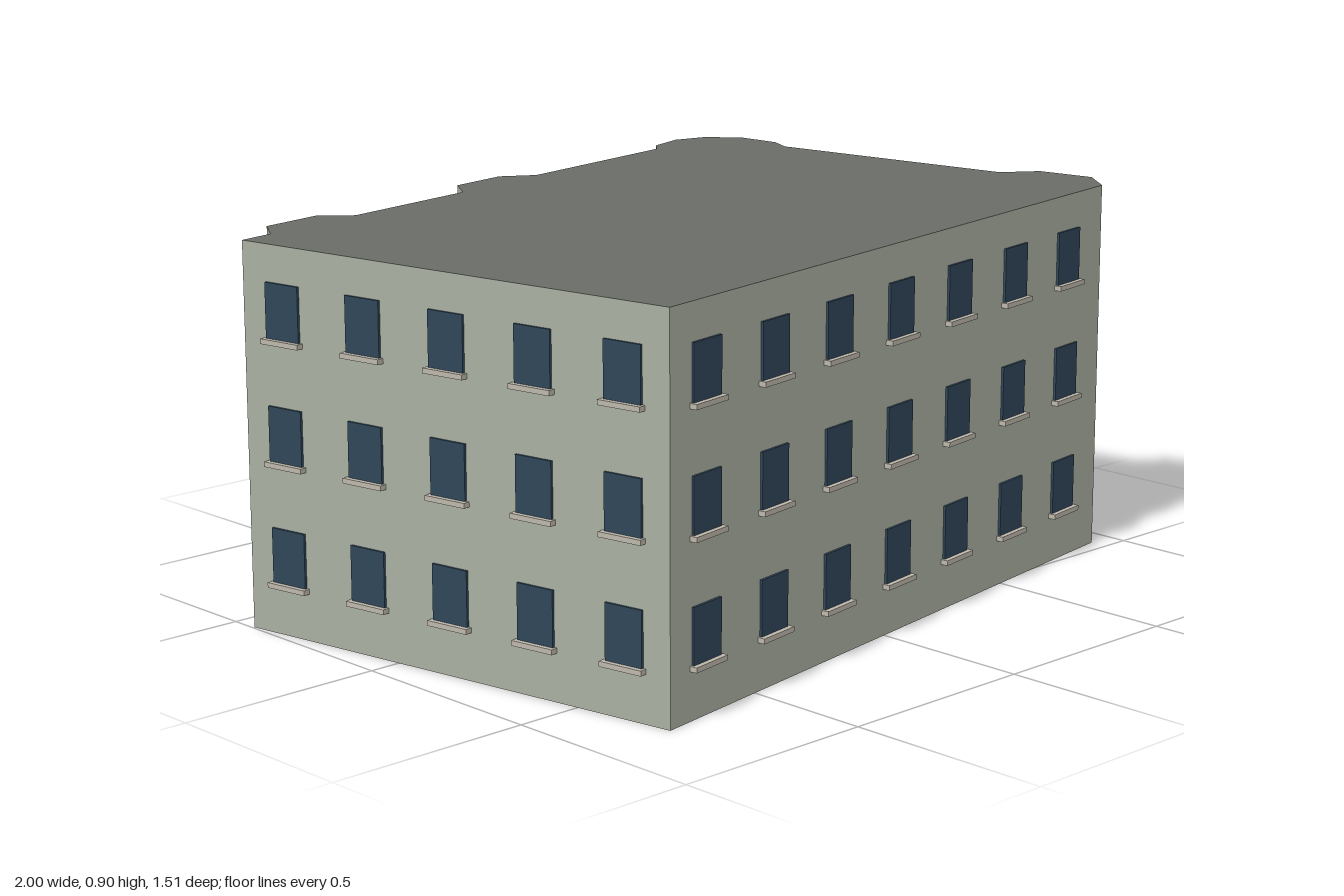
import * as THREE from 'three';

const HEIGHT = 0.905;

// Footprint corners as [x, z], starting at the front right corner of the facade
const outline = [
  [-0.80, 0.745], [0.93, 0.455],                                    // front wall
  [1.0, 0.365], [0.975, 0.22], [0.89, 0.16],                        // front corner bay
  [0.785, -0.485],                                                  // side wall
  [0.815, -0.55], [0.805, -0.67], [0.735, -0.74],                   // rear corner turret
  [0.655, -0.76], [0.555, -0.73], [0.52, -0.69],
  [0.035, -0.61], [-0.045, -0.66], [-0.20, -0.635], [-0.25, -0.555], // middle rear bay
  [-0.625, -0.495], [-0.695, -0.555], [-0.855, -0.53], [-0.905, -0.45], // end rear bay
  [-0.995, -0.435],
];

// Walls with windows: index of the wall's first corner, window positions along it
const facades = [
  { name: 'front', corner: 0, at: [0.071, 0.211, 0.35, 0.49, 0.63, 0.77, 0.909] },
  { name: 'leftSide', corner: 4, at: [0.24, 0.744] },
  { name: 'rearWide', corner: 11, at: [0.26, 0.77] },
  { name: 'rearNarrow', corner: 15, at: [0.51] },
  { name: 'rightSide', corner: 20, at: [0.1, 0.3, 0.5, 0.7, 0.9] },
];
const storeys = [0.187, 0.471, 0.755];

const paint = (color) => new THREE.MeshStandardMaterial({ color });

export function createModel() {
  const model = new THREE.Group();
  model.name = 'building';
  const wallPaint = paint(0xa9afa2);
  const roofPaint = paint(0x6a6d66);
  const glassPaint = paint(0x2f4659);
  const sillPaint = paint(0xbdb7ab);

  // Walls with flat roof and base
  const shape = new THREE.Shape(outline.map(([x, z]) => new THREE.Vector2(x, -z)));
  const bodyGeometry = new THREE.ExtrudeGeometry(shape, { depth: HEIGHT, bevelEnabled: false });
  bodyGeometry.rotateX(-Math.PI / 2);
  const body = new THREE.Mesh(bodyGeometry, [roofPaint, wallPaint]);
  body.name = 'wallsAndRoof';
  model.add(body);

  // Window panes and their sills, standing slightly proud of the wall
  const paneGeometry = new THREE.BoxGeometry(0.098, 0.128, 0.012);
  const sillGeometry = new THREE.BoxGeometry(0.112, 0.012, 0.036);

  for (const { name, corner, at } of facades) {
    const [x0, z0] = outline[corner];
    const [x1, z1] = outline[(corner + 1) % outline.length];
    const dx = x1 - x0, dz = z1 - z0;
    const length = Math.hypot(dx, dz);

    const facade = new THREE.Group();
    facade.name = name + 'Windows';
    facade.position.set(x0, 0, z0);
    facade.rotation.y = Math.atan2(-dz, dx);
    for (const y of storeys) {
      for (const t of at) {
        const pane = new THREE.Mesh(paneGeometry, glassPaint);
        pane.name = 'windowPane';
        pane.position.set(t * length, y, 0);
        const sill = new THREE.Mesh(sillGeometry, sillPaint);
        sill.name = 'windowSill';
        sill.position.set(t * length, y - 0.07, 0);
        facade.add(pane, sill);
      }
    }
    model.add(facade);
  }
  return model;
}
